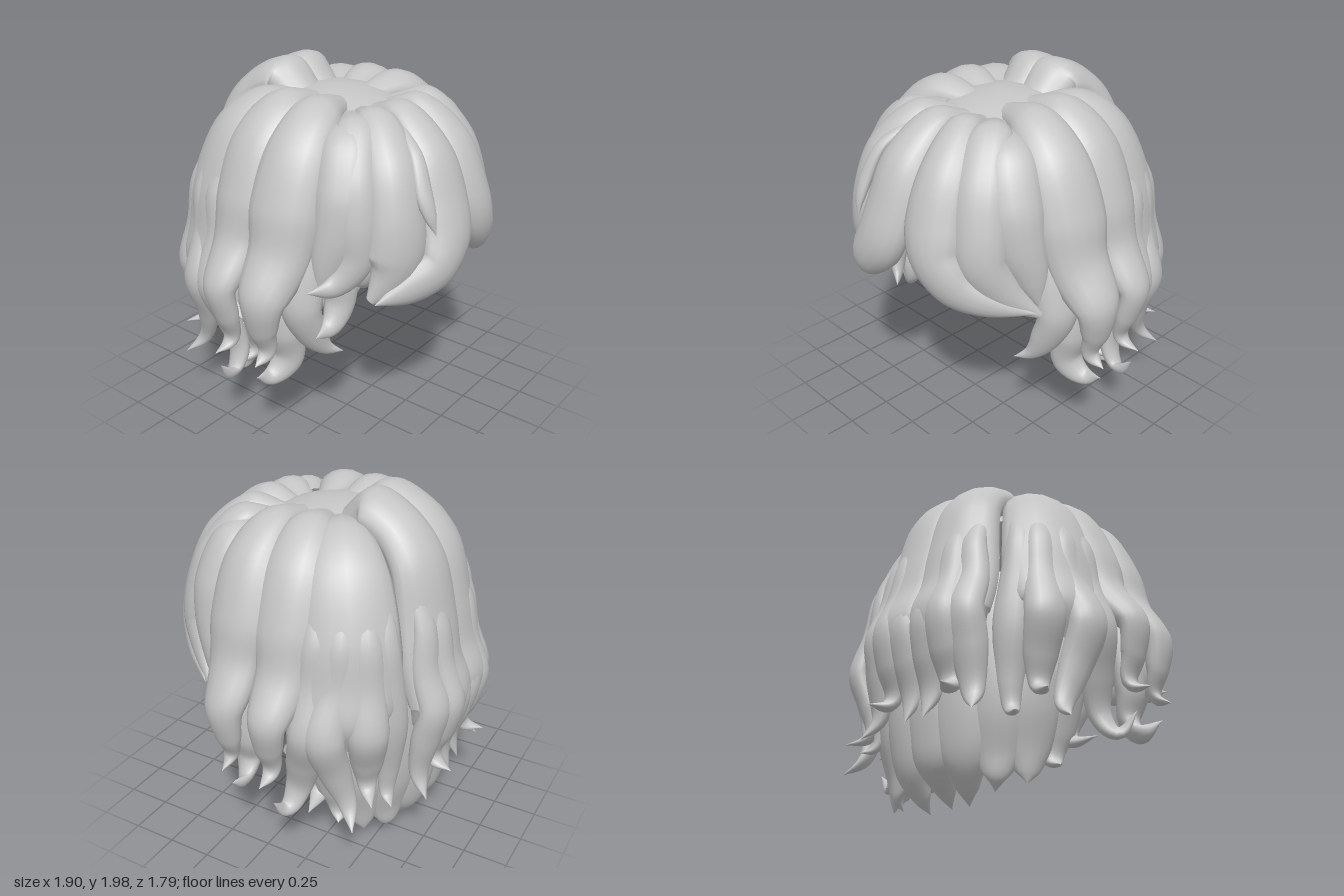
import * as THREE from 'three';

const hairGrey = new THREE.MeshStandardMaterial({ color: 0xc4c4c4, side: THREE.DoubleSide });
hairGrey.name = 'hairGrey';

// A lock of hair: rows are [x, y, z, halfWidth] along its outermost line
function lock(name, rows, flip = 1, thick = 0.1) {
  const path = new THREE.CatmullRomCurve3(rows.map(r => new THREE.Vector3(r[0] * flip, r[1], r[2])));
  const width = new THREE.CatmullRomCurve3(rows.map((r, i) => new THREE.Vector3(r[3], i, 0)), false, 'catmullrom', 0.5);
  const N = rows.length * 6, M = 16, pos = [], idx = [];
  let O = null;
  for (let i = 0; i <= N; i++) {
    const u = i / N, p = path.getPoint(u), T = path.getTangent(u);
    const w = Math.max(0.002, width.getPoint(u).x), t = Math.min(thick, w * 0.65);
    // outward direction: follows the head, but never flips where the tip curls
    const radial = p.clone().sub(new THREE.Vector3(0, Math.min(p.y, 1.15), -0.05)).normalize();
    radial.addScaledVector(T, -radial.dot(T));
    if (O) {
      O.addScaledVector(radial, Math.max(0, O.dot(radial)));
      O.addScaledVector(T, -O.dot(T)).normalize();
    } else O = radial.normalize();
    const S = T.clone().cross(O).normalize();
    for (let j = 0; j < M; j++) {
      const a = j / M * Math.PI * 2, s = Math.cos(a) * w;
      const o = Math.sin(a) * t - t - s * s * 0.5;
      const v = p.clone().addScaledVector(S, s).addScaledVector(O, o);
      pos.push(v.x, v.y, v.z);
      if (i < N) {
        const A = i * M + j, B = i * M + (j + 1) % M;
        idx.push(A, A + M, B, B, A + M, B + M);
      }
    }
  }
  const g = new THREE.BufferGeometry();
  g.setAttribute('position', new THREE.Float32BufferAttribute(pos, 3));
  g.setIndex(idx);
  g.computeVertexNormals();
  const m = new THREE.Mesh(g, hairGrey);
  m.name = name;
  return m;
}

// Locks that exist on both sides
const PAIRED = {
  sideFrontLock: [[0.1, 1.84, 0.1, 0.07], [0.38, 1.89, 0.16, 0.14], [0.62, 1.73, 0.2, 0.18], [0.77, 1.42, 0.21, 0.2],
    [0.82, 1.2, 0.21, 0.175], [0.94, 0.96, 0.19, 0.13], [0.91, 0.76, 0.17, 0.09], [0.86, 0.64, 0.17, 0.05], [0.92, 0.58, 0.16, 0]],
  sideBackLock: [[0.1, 1.84, -0.03, 0.07], [0.38, 1.9, -0.07, 0.14], [0.62, 1.74, -0.11, 0.18], [0.77, 1.42, -0.12, 0.19],
    [0.82, 1.2, -0.13, 0.155], [0.95, 0.96, -0.12, 0.11], [0.91, 0.76, -0.1, 0.085], [0.86, 0.63, -0.1, 0.05], [0.95, 0.58, -0.1, 0]],
  cornerLock: [[0.1, 1.83, -0.1, 0.08], [0.34, 1.88, -0.25, 0.16], [0.53, 1.74, -0.38, 0.22], [0.66, 1.4, -0.48, 0.26],
    [0.7, 1.15, -0.5, 0.27], [0.74, 0.95, -0.51, 0.21], [0.68, 0.78, -0.48, 0.08]],
  // strands along the corner lock, each ending in a curl
  cornerCurlFront: [[0.52, 1.73, -0.23, 0.03], [0.725, 1.4, -0.31, 0.08], [0.765, 1.15, -0.31, 0.1], [0.85, 0.87, -0.31, 0.1], [0.78, 0.63, -0.24, 0.1],
    [0.74, 0.46, -0.19, 0.075], [0.79, 0.37, -0.17, 0.045], [0.88, 0.45, -0.14, 0]],
  cornerCurlMiddle: [[0.5, 1.73, -0.33, 0.03], [0.69, 1.4, -0.44, 0.08], [0.735, 1.14, -0.44, 0.1], [0.84, 0.87, -0.42, 0.11], [0.75, 0.62, -0.44, 0.09],
    [0.7, 0.43, -0.49, 0.05], [0.76, 0.33, -0.55, 0]],
  cornerCurlBack: [[0.45, 1.73, -0.4, 0.03], [0.615, 1.4, -0.55, 0.08], [0.65, 1.14, -0.58, 0.1], [0.7, 0.88, -0.62, 0.11], [0.63, 0.66, -0.58, 0.09],
    [0.6, 0.53, -0.56, 0.05], [0.68, 0.47, -0.62, 0]],
  cornerCurlInner: [[0.39, 1.73, -0.47, 0.03], [0.525, 1.4, -0.61, 0.07], [0.54, 1.13, -0.64, 0.1], [0.52, 0.84, -0.66, 0.11], [0.47, 0.56, -0.63, 0.07],
    [0.47, 0.42, -0.62, 0.04], [0.52, 0.38, -0.66, 0]],
  // raised panel running over the crown and down the back
  crownBackLock: [[0.1, 1.84, -0.11, 0.13], [0.11, 1.99, -0.28, 0.17], [0.13, 1.91, -0.5, 0.17], [0.16, 1.72, -0.67, 0.19],
    [0.18, 1.4, -0.76, 0.22], [0.2, 1.16, -0.81, 0.23], [0.2, 0.95, -0.88, 0.23], [0.2, 0.76, -0.83, 0.18], [0.2, 0.65, -0.77, 0.08]],
  // strands along the back panel, each ending in a curl
  backCurlInner: [[0.07, 1.78, -0.54, 0.03], [0.08, 1.4, -0.745, 0.08], [0.09, 1.15, -0.81, 0.1], [0.09, 0.93, -0.89, 0.1], [0.08, 0.72, -0.85, 0.1], [0.07, 0.55, -0.79, 0.07], [0.06, 0.4, -0.8, 0]],
  backCurlMiddle: [[0.16, 1.78, -0.54, 0.03], [0.19, 1.4, -0.765, 0.07], [0.2, 1.15, -0.82, 0.09], [0.21, 0.93, -0.895, 0.1], [0.21, 0.72, -0.85, 0.1], [0.21, 0.57, -0.79, 0.06], [0.24, 0.52, -0.88, 0]],
  backCurlOuter: [[0.24, 1.78, -0.52, 0.03], [0.29, 1.4, -0.73, 0.07], [0.32, 1.15, -0.775, 0.09], [0.33, 0.93, -0.85, 0.1], [0.33, 0.72, -0.81, 0.1], [0.33, 0.5, -0.76, 0.06], [0.37, 0.38, -0.8, 0]],
  // pieces below the side locks
  templeCurl: [[0.62, 1.4, 0.3, 0.05], [0.73, 1.05, 0.32, 0.11], [0.76, 0.86, 0.32, 0.11], [0.68, 0.69, 0.35, 0.09], [0.6, 0.61, 0.38, 0.05], [0.51, 0.58, 0.42, 0]],
  lowerSideLock: [[0.68, 1.2, 0.16, 0.13], [0.75, 0.9, 0.17, 0.13], [0.76, 0.68, 0.18, 0.12], [0.72, 0.53, 0.18, 0.09],
    [0.78, 0.45, 0.15, 0.05], [0.88, 0.48, 0.13, 0]],
  bangFill: [[0.2, 1.81, 0.25, 0.07], [0.44, 1.77, 0.42, 0.15], [0.58, 1.52, 0.5, 0.16], [0.63, 1.3, 0.49, 0.14], [0.66, 1.1, 0.43, 0.09], [0.66, 0.94, 0.38, 0]],
};

// Fringe, different on each side
const FRINGE = {
  fringeCentreRight: [[-0.01, 1.81, 0.25, 0.08], [-0.04, 1.86, 0.45, 0.11], [-0.08, 1.68, 0.71, 0.16], [-0.1, 1.4, 0.84, 0.18],
    [-0.14, 1.22, 0.89, 0.17], [-0.25, 1.08, 0.88, 0.13], [-0.4, 1.0, 0.78, 0.1], [-0.55, 0.95, 0.65, 0]],
  fringeMiddleRight: [[-0.1, 1.81, 0.25, 0.08], [-0.22, 1.85, 0.43, 0.12], [-0.35, 1.66, 0.64, 0.15], [-0.41, 1.4, 0.73, 0.16],
    [-0.43, 1.2, 0.75, 0.17], [-0.46, 1.08, 0.72, 0.15], [-0.54, 0.95, 0.62, 0.03]],
  fringeOuterRight: [[-0.2, 1.81, 0.24, 0.07], [-0.36, 1.82, 0.4, 0.12], [-0.52, 1.6, 0.52, 0.13], [-0.57, 1.35, 0.57, 0.12],
    [-0.58, 1.15, 0.56, 0.1], [-0.66, 1.03, 0.48, 0.06], [-0.78, 1.03, 0.4, 0]],
  fringeStrand: [[-0.15, 1.8, 0.48, 0.02], [-0.24, 1.68, 0.675, 0.04], [-0.29, 1.5, 0.77, 0.05], [-0.29, 1.38, 0.81, 0.035], [-0.27, 1.28, 0.82, 0]],
  fringeCentreLeft: [[0.08, 1.81, 0.25, 0.07], [0.14, 1.86, 0.43, 0.1], [0.22, 1.68, 0.67, 0.15], [0.25, 1.4, 0.8, 0.17],
    [0.29, 1.22, 0.83, 0.15], [0.39, 1.08, 0.78, 0.13], [0.53, 0.99, 0.64, 0.08], [0.68, 0.93, 0.42, 0]],
  fringeOuterLeft: [[0.16, 1.81, 0.24, 0.08], [0.3, 1.85, 0.4, 0.12], [0.42, 1.65, 0.58, 0.15], [0.48, 1.4, 0.66, 0.15],
    [0.51, 1.2, 0.67, 0.14], [0.58, 1.04, 0.57, 0.11], [0.68, 0.91, 0.4, 0.02]],
  cheekCurlRight: [[-0.57, 1.25, 0.42, 0.05], [-0.6, 1.02, 0.47, 0.09], [-0.6, 0.9, 0.47, 0.08], [-0.66, 0.8, 0.46, 0.05], [-0.76, 0.78, 0.44, 0]],
};

export function createModel() {
  const hair = new THREE.Group();
  hair.name = 'hair';

  // Flattened cap under the roots of the locks
  const dome = new THREE.SphereGeometry(1, 40, 14, 0, Math.PI * 2, 0, Math.PI * 0.3);
  const p = dome.attributes.position;
  for (let i = 0; i < p.count; i++)
    p.setXYZ(i, p.getX(i) * 0.67, 1.1 + Math.pow(p.getY(i), 0.7) * 0.77, p.getZ(i) * 0.64 - 0.03);
  dome.computeVertexNormals();
  const scalp = new THREE.Mesh(dome, hairGrey);
  scalp.name = 'scalp';
  hair.add(scalp);

  for (const [name, rows] of Object.entries(PAIRED))
    for (const s of [1, -1]) hair.add(lock(name + (s > 0 ? 'Left' : 'Right'), rows, s));
  for (const [name, rows] of Object.entries(FRINGE)) hair.add(lock(name, rows));

  // Long under layer around the nape: [angle from the back, tip height, tip radius]
  const nape = [[0, 0.02, 0.38], [18, 0.01, 0.42], [36, 0.05, 0.52], [53, 0.08, 0.56], [69, 0.18, 0.62], [82, 0.32, 0.74]];
  nape.forEach(([deg, tip, end], k) => {
    const a = deg * Math.PI / 180;
    const at = (r, y, w) => [r * 0.98 * Math.sin(a), y, -0.17 - r * 0.85 * Math.cos(a), w];
    const rows = [at(0.65, 1.2, 0.13), at(0.69, 0.95, 0.15), at(0.7, 0.65, 0.15), at(0.67, tip + 0.36, 0.145),
      at(0.61, tip + 0.17, 0.12), at(Math.min(0.58, end + 0.08), tip + 0.05, 0.06), at(end, tip, 0)];
    for (const s of k ? [1, -1] : [1]) hair.add(lock('napeLock' + k + (s > 0 ? 'Left' : 'Right'), rows, s, 0.06));
  });
  return hair;
}
